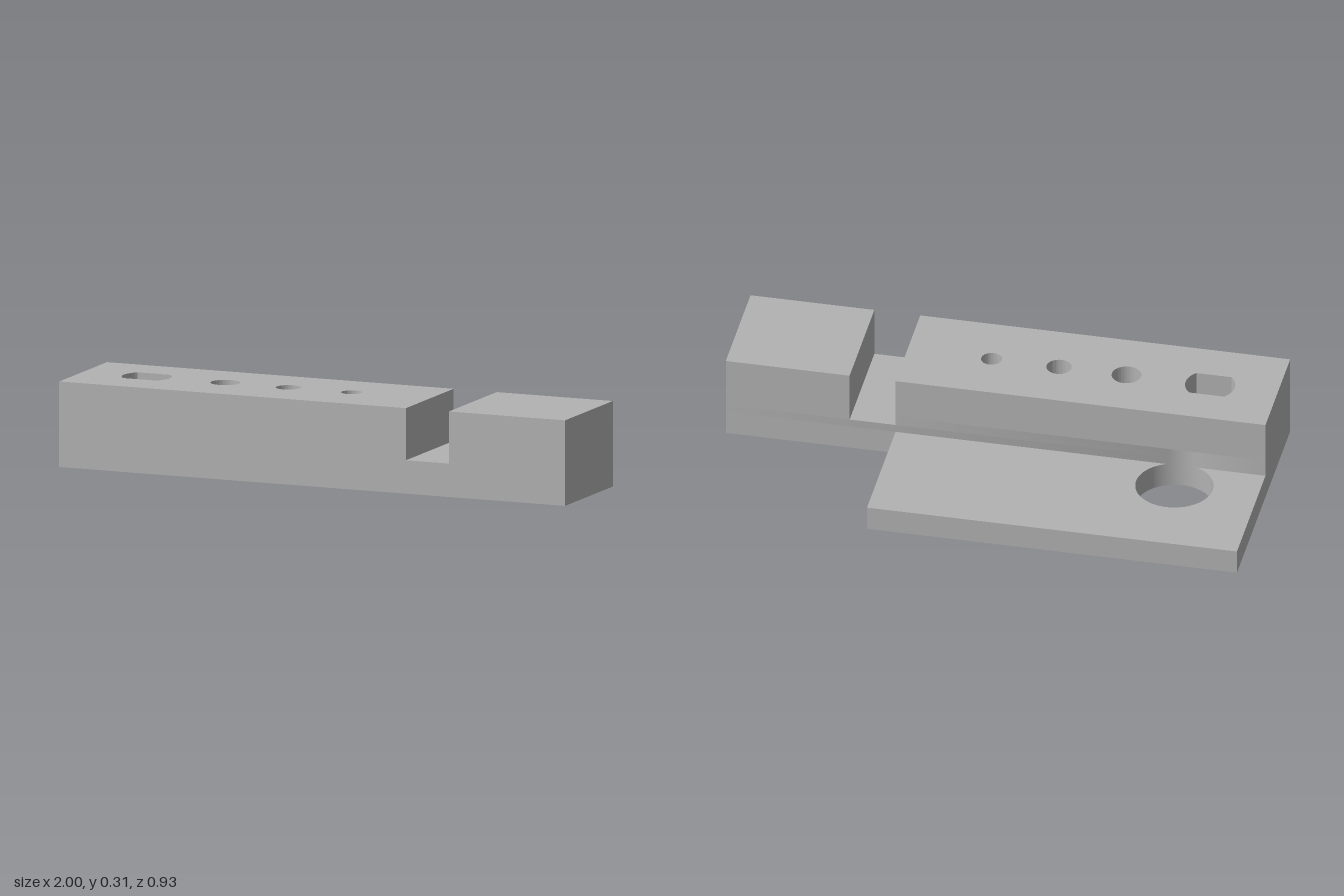
import * as THREE from 'three';
import { toCreasedNormals } from 'three/addons/utils/BufferGeometryUtils.js';

// Plan outlines are drawn in (x, -z) and extruded upwards.
const LEFT = -1, RIGHT = 1, FRONT = -0.467, STEP = -0.033, BACK = 0.467;
const SLOT_START = 0.371, SLOT_END = 0.541;
const PLATE_TOP = 0.093, SLOT_FLOOR = 0.123, NOTCH_TOP = 0.16, TOP = 0.315;
const BORE = { x: -0.69, y: 0.097, r: 0.142 };
const ROW = -0.246;

function polygon(points) {
  return new THREE.Shape(points.map(([x, y]) => new THREE.Vector2(x, y)));
}

function circle(x, y, r) {
  return new THREE.Path().absarc(x, y, r, 0, Math.PI * 2, false);
}

// Round hole with two flats, then three round holes of falling size
function rowHoles() {
  const r = 0.091, a = Math.asin(0.064 / r);
  const flatted = new THREE.Path();
  flatted.absarc(-0.75, ROW, r, -a, a, false);
  flatted.absarc(-0.75, ROW, r, Math.PI - a, Math.PI + a, false);
  flatted.closePath();
  return [flatted, circle(-0.44, ROW, 0.054), circle(-0.19, ROW, 0.046), circle(0.06, ROW, 0.038)];
}

// Bar outline up to a given x, optionally bitten into by the large bore
function barShape(endX, notched) {
  const s = new THREE.Shape();
  s.moveTo(LEFT, FRONT);
  s.lineTo(endX, FRONT);
  s.lineTo(endX, STEP);
  if (notched) {
    const a = Math.asin((STEP - BORE.y) / BORE.r);
    s.absarc(BORE.x, BORE.y, BORE.r, a, -Math.PI - a, true);
  }
  s.lineTo(LEFT, STEP);
  s.closePath();
  s.holes.push(...rowHoles());
  return s;
}

export function createModel() {
  const group = new THREE.Group();
  const grey = new THREE.MeshStandardMaterial({ color: 0xb2b2b2 });
  grey.name = 'grey';

  const addLayer = (name, shape, y0, y1) => {
    const flat = new THREE.ExtrudeGeometry(shape, { depth: y1 - y0, bevelEnabled: false, curveSegments: 40 });
    flat.rotateX(-Math.PI / 2);
    const mesh = new THREE.Mesh(toCreasedNormals(flat, Math.PI / 6), grey);
    mesh.position.y = y0;
    mesh.name = name;
    group.add(mesh);
  };

  // L-shaped base: rear plate and foot of the bar, with every hole
  const base = polygon([[LEFT, FRONT], [RIGHT, FRONT], [RIGHT, STEP], [SLOT_START, STEP], [SLOT_START, BACK], [LEFT, BACK]]);
  base.holes.push(...rowHoles(), circle(BORE.x, BORE.y, BORE.r));
  addLayer('basePlate', base, 0, PLATE_TOP);

  // Bar: floor of the cross slot, then the drilled long part
  addLayer('slotFloor', barShape(RIGHT, true), PLATE_TOP, SLOT_FLOOR);
  addLayer('notchedBar', barShape(SLOT_START, true), SLOT_FLOOR, NOTCH_TOP);
  addLayer('drilledBar', barShape(SLOT_START, false), NOTCH_TOP, TOP);

  // Solid block beyond the cross slot
  addLayer('endBlock', polygon([[SLOT_END, FRONT], [RIGHT, FRONT], [RIGHT, STEP], [SLOT_END, STEP]]), SLOT_FLOOR, TOP);

  return group;
}
